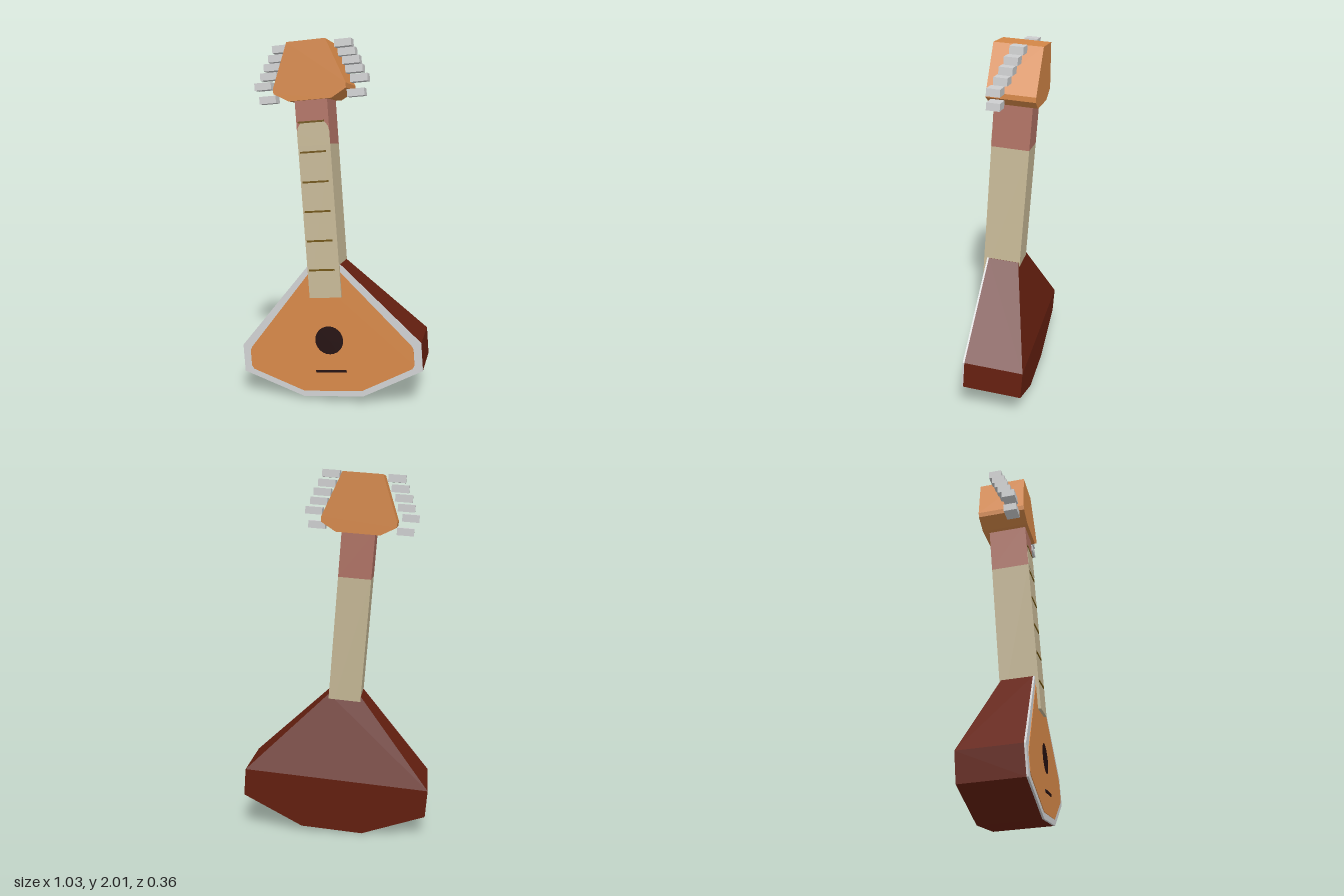
import * as THREE from 'three';
import { ConvexGeometry } from 'three/addons/geometries/ConvexGeometry.js';

const paint = (name, color) => {
  const m = new THREE.MeshStandardMaterial({ color });
  m.name = name;
  return m;
};

export function createModel() {
  const orangeWood = paint('orange wood', 0xd68848);
  const redWood = paint('dark red wood', 0x641f0f);
  const cream = paint('cream', 0xc6b896);
  const pink = paint('dusty pink', 0xb07264);
  const silver = paint('silver', 0xcfd0d1);
  const dark = paint('dark brown', 0x240f0f);
  const gold = paint('dull gold', 0x70540f);

  // Upright, symmetric instrument, leaned slightly as a whole
  const model = new THREE.Group();
  model.name = 'lute';
  const lean = new THREE.Group();
  lean.name = 'leaningInstrument';
  lean.rotation.set(-0.054, 0, 0.085);
  const body = new THREE.Group();
  body.name = 'instrument';
  body.position.x = 0.021;
  lean.add(body);
  model.add(lean);

  const add = (name, geometry, material) => {
    const mesh = new THREE.Mesh(geometry, material);
    mesh.name = name;
    body.add(mesh);
    return mesh;
  };
  const box = (name, material, w, y0, y1, z0, z1, x = 0) => {
    const mesh = add(name, new THREE.BoxGeometry(w, y1 - y0, z1 - z0), material);
    mesh.position.set(x, (y0 + y1) / 2, (z0 + z1) / 2);
    return mesh;
  };
  // Full outline from its right half, listed bottom to top
  const mirrored = (half) => [...half, ...half.map(([x, y]) => [-x, y]).reverse()];
  const plate = (name, material, half, z0, z1) => {
    const shape = new THREE.Shape(mirrored(half).map(([x, y]) => new THREE.Vector2(x, y)));
    const geometry = new THREE.ExtrudeGeometry(shape, { depth: z1 - z0, bevelEnabled: false });
    return add(name, geometry.translate(0, 0, z0), material);
  };

  // Sound box: faceted shell, shallow at the neck and deep below
  const outline = [[0.171, 0.021], [0.511, 0.168], [0.511, 0.322], [0.091, 0.77]];
  const corners = mirrored(outline).flatMap(([x, y]) => [
    new THREE.Vector3(x, y, 0.17),
    new THREE.Vector3(x, y, y > 0.5 ? -0.003 : -0.155),
  ]);
  add('soundBox', new ConvexGeometry(corners), redWood);
  plate('rim', silver, outline, 0.17, 0.18);
  plate('soundBoard', orangeWood,
    [[0.165, 0.053], [0.455, 0.18], [0.468, 0.2], [0.468, 0.29], [0.458, 0.31], [0.085, 0.732]], 0.18, 0.183);

  // Sound hole and bridge
  const hole = add('soundHole', new THREE.CircleGeometry(0.08, 24), dark);
  hole.position.set(0, 0.345, 0.185);
  box('bridge', dark, 0.175, 0.16, 0.175, 0.183, 0.187);

  // Neck with a pink collar and a rounded fingerboard end
  box('neck', cream, 0.18, 0.59, 1.432, -0.012, 0.198);
  box('neckCollar', pink, 0.18, 1.432, 1.69, -0.012, 0.198);
  plate('fingerboardEnd', cream,
    [[0.09, 1.43], [0.09, 1.5], [0.084, 1.528], [0.068, 1.55], [0.045, 1.56]], 0.198, 0.2);
  for (let i = 0; i < 6; i++) {
    const y = 0.746 + i * 0.162;
    box('fret', gold, 0.145, y - 0.005, y + 0.005, 0.198, 0.202, -0.008);
  }

  // Head
  plate('head', orangeWood,
    [[0.118, 1.672], [0.2, 1.718], [0.201, 1.745], [0.106, 1.984]], -0.045, 0.217);

  // Tuning pegs: [distance from centre, height, depth]
  const pegs = [
    [0.176, 1.969, 0.07], [0.197, 1.918, 0.09], [0.221, 1.87, 0.107],
    [0.239, 1.82, 0.126], [0.267, 1.767, 0.152], [0.245, 1.692, 0.153],
  ];
  for (const side of [-1, 1]) {
    for (const [x, y, z] of pegs) {
      box('tuningPeg', silver, 0.094, y - 0.02, y + 0.02, z - 0.036, z + 0.036, side * x);
    }
  }
  return model;
}
